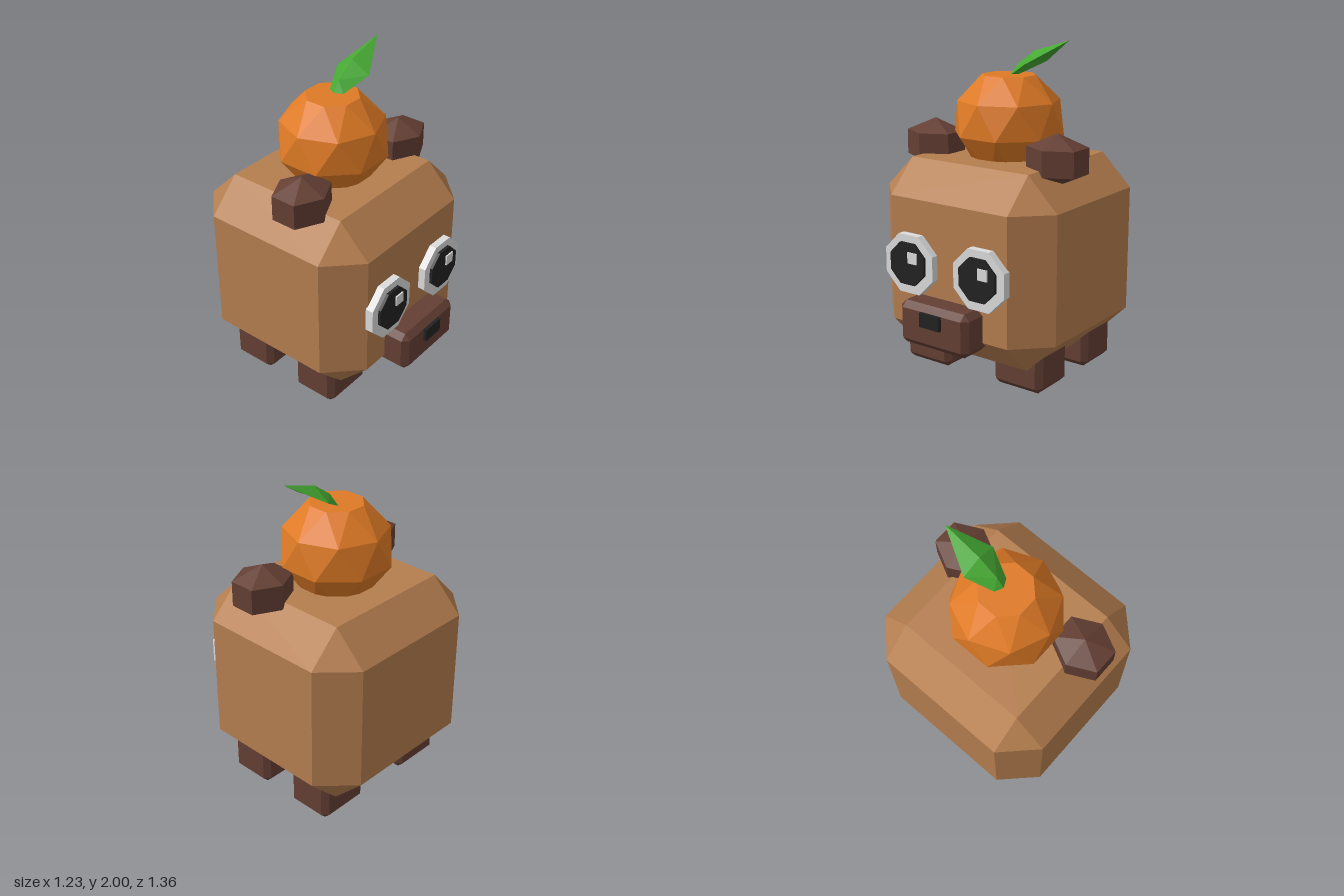
import * as THREE from 'three';
import { ConvexGeometry } from 'three/addons/geometries/ConvexGeometry.js';

const mat = (name, color) => {
  const m = new THREE.MeshStandardMaterial({ color });
  m.name = name;
  return m;
};

// Box with every edge cut at 45 degrees, given by its min and max corners
function chamferBox(min, max, c) {
  const mid = min.map((v, i) => (v + max[i]) / 2);
  const half = min.map((v, i) => (max[i] - v) / 2);
  const points = [];
  for (const sx of [-1, 1]) for (const sy of [-1, 1]) for (const sz of [-1, 1]) {
    const s = [sx, sy, sz];
    for (let axis = 0; axis < 3; axis++) {
      points.push(new THREE.Vector3(...mid.map((m, i) => m + s[i] * (half[i] - (i === axis ? 0 : c)))));
    }
  }
  return new ConvexGeometry(points);
}

// Faceted ball from stacked rings: [y, radius, start angle]
function ringBall(rings, sides) {
  const points = [];
  for (const [y, r, start] of rings) {
    for (let i = 0; i < (r ? sides : 1); i++) {
      const a = start + (i / sides) * Math.PI * 2;
      points.push(new THREE.Vector3(r * Math.sin(a), y, r * Math.cos(a)));
    }
  }
  return new ConvexGeometry(points);
}

// Octagonal disc facing the front, flat sides up
function octagon(halfWidth, depth) {
  const r = halfWidth / Math.cos(Math.PI / 8);
  return new THREE.CylinderGeometry(r, r, depth, 8).rotateY(Math.PI / 8).rotateX(Math.PI / 2);
}

export function createModel() {
  const group = new THREE.Group();
  const fur = mat('tan fur', 0xb57e4f);
  const brown = mat('dark brown', 0x643f34);
  const orange = mat('orange peel', 0xdf7a25);
  const green = mat('leaf green', 0x45a832);
  const white = mat('eye white', 0xdcdcdc);
  const black = mat('black', 0x222222);
  for (const m of [fur, brown, orange, green, white, black]) m.flatShading = true;
  green.side = THREE.DoubleSide;

  const add = (name, geometry, material, x = 0, y = 0, z = 0) => {
    const mesh = new THREE.Mesh(geometry, material);
    mesh.name = name;
    mesh.position.set(x, y, z);
    group.add(mesh);
    return mesh;
  };

  add('body', chamferBox([-0.615, 0.14, -0.68], [0.615, 1.3, 0.505], 0.196), fur);

  // Snout and nose
  add('snout', chamferBox([-0.248, 0.275, 0.44], [0.248, 0.535, 0.66], 0.036), brown);
  add('nose', new THREE.BoxGeometry(0.145, 0.085, 0.06), black, 0, 0.457, 0.65);

  for (const [side, s] of [['left', 1], ['right', -1]]) {
    // Legs
    for (const [end, z] of [['Front', 0.01], ['Back', -0.485]]) {
      const x = s > 0 ? [0.165, 0.508] : [-0.508, -0.165];
      add(side + end + 'Leg', chamferBox([x[0], 0, z], [x[1], 0.32, z + 0.297], 0.035), brown);
    }
    // Eyes; the glints both sit toward the same side
    add(side + 'Eye', octagon(0.177, 0.05), white, s * 0.254, 0.72, 0.525);
    add(side + 'Pupil', octagon(0.126, 0.04), black, s * 0.254, 0.726, 0.548);
    add(side + 'Glint', new THREE.BoxGeometry(0.066, 0.066, 0.02), white, s * 0.254 + 0.045, 0.768, 0.567);
    // Ears
    const ear = ringBall([[0.153, 0, 0], [0.076, 0.16, 0], [-0.076, 0.16, 0], [-0.153, 0, 0]], 6);
    ear.scale(1.155, 1, 1);
    add(side + 'Ear', ear, brown, s * 0.445, 1.345, 0.058);
  }

  // Orange: rings turned half a step from one to the next
  const t = Math.PI / 8;
  add('orange', ringBall([[0.29, 0.163, t], [0.14, 0.31, 0], [-0.06, 0.335, t], [-0.14, 0.31, 0], [-0.29, 0.175, t]].filter((r) => r[0] !== -0.14)
    .map(([y, r, a]) => [y, r, y === -0.29 ? 0 : a]), 8), orange, 0, 1.49, -0.088);

  // Leaf: a raised midrib with a folded blade on both sides
  const rib = [[0.015, 1.78, 0], [0.06, 1.845, 0], [0.18, 1.93, 0], [0.415, 2, 0]];
  const edge = (k) => [[0.04, 1.78, 0.05 * k], [0.19, 1.86, 0.116 * k]];
  const corners = [];
  for (const k of [1, -1]) {
    const [a, b] = edge(k);
    const tris = [[rib[0], a, rib[1]], [a, b, rib[1]], [rib[1], b, rib[2]], [b, rib[3], rib[2]]];
    for (const tri of tris) corners.push(...(k > 0 ? tri : tri.reverse()).flat());
  }
  const leaf = new THREE.BufferGeometry();
  leaf.setAttribute('position', new THREE.Float32BufferAttribute(corners, 3));
  leaf.computeVertexNormals();
  add('leaf', leaf, green, 0, 0, -0.09);

  return group;
}
